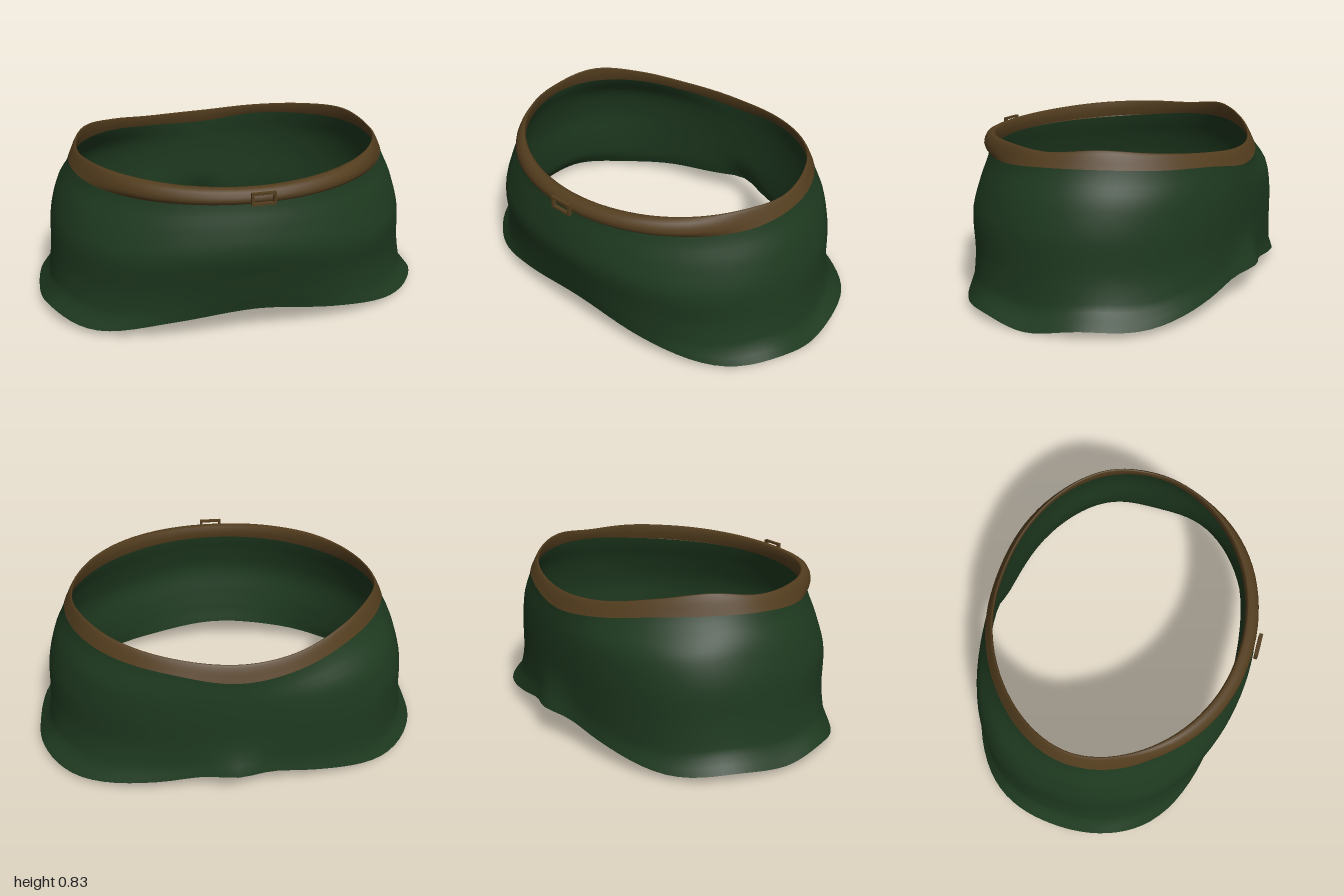
import * as THREE from 'three';

// Heights at 16 stations around the waist: front, model's left (+x), back, right
const hemY = [.14, .085, .03, .035, .0, .04, .03, .08, .14, .09, .03, .045, .025, .055, .03, .1];
const beltLowY = [.705, .705, .705, .712, .73, .733, .718, .698, .655, .675, .715, .733, .73, .712, .705, .705];
const beltTopY = [.785, .79, .798, .803, .795, .815, .79, .76, .735, .745, .79, .828, .803, .803, .8, .79];

// Skirt rings from hem to belt:
// [height fraction, half width, front depth, back depth, boxiness in front, at back left, at back right]
const rings = [
  [0, 1.0, .65, .68, .07, .09, .08],
  [.1, .945, .665, .67, .05, .06, .08],
  [.3, .925, .69, .67, .025, .03, .08],
  [.58, .912, .722, .67, .015, .03, .08],
  [.8, .87, .70, .665, .0, .03, .06],
  [1, .81, .67, .655, -.01, .01, -.03],
];

function cubic(a, b, c, d, f) {
  return b + .5 * f * (c - a + f * (2 * a - 5 * b + 4 * c - d + f * (3 * (b - c) + d - a)));
}

// Smooth periodic lookup, u in 0..1
function around(list, u) {
  const n = list.length, p = u * n, i = Math.floor(p);
  const at = k => list[(i + k + n) % n];
  return cubic(at(-1), at(0), at(1), at(2), p - i);
}

// Smooth ring values at fraction v
function ringAt(v) {
  let i = 0;
  while (i < rings.length - 2 && v > rings[i + 1][0]) i++;
  const at = k => rings[Math.min(rings.length - 1, Math.max(0, i + k))];
  const f = (v - at(0)[0]) / (at(1)[0] - at(0)[0]);
  return at(0).map((_, c) => cubic(at(-1)[c], at(0)[c], at(1)[c], at(2)[c], f));
}

function outline(v, t) {
  const [, width, front, back, boxFront, boxLeft, boxRight] = ringAt(v);
  const isFront = Math.cos(t) > 0;
  const box = isFront ? boxFront : Math.sin(t) > 0 ? boxLeft : boxRight;
  const k = 1 + box * Math.sin(2 * t) ** 2;
  const x = width * k * Math.sin(t);
  // Soft pleat that kicks out at the back of the hem
  const pleat = isFront ? 0 : .05 * Math.exp(-((x / .13) ** 2) - (v / .2) ** 2);
  return [x, (isFront ? front : back) * k * Math.cos(t) - pleat];
}

// Closed band of quads: point(u, j) gives a position for column u and row j
function band(columns, rows, point) {
  const positions = [], index = [];
  for (let j = 0; j < rows; j++)
    for (let i = 0; i < columns; i++) positions.push(...point(i / columns, j));
  for (let j = 0; j < rows - 1; j++)
    for (let i = 0; i < columns; i++) {
      const n = (i + 1) % columns;
      const a = j * columns + i, b = j * columns + n, c = a + columns, d = b + columns;
      index.push(a, b, d, a, d, c);
    }
  const g = new THREE.BufferGeometry();
  g.setAttribute('position', new THREE.Float32BufferAttribute(positions, 3));
  g.setIndex(index);
  g.computeVertexNormals();
  return g;
}

export function createModel() {
  const cloth = new THREE.MeshStandardMaterial({ name: 'dark green cloth', color: 0x1e391f, side: THREE.DoubleSide });
  const leather = new THREE.MeshStandardMaterial({ name: 'brown leather', color: 0x533d1e, side: THREE.DoubleSide });
  const group = new THREE.Group();
  const add = (name, geometry, material) => {
    const mesh = new THREE.Mesh(geometry, material);
    mesh.name = name;
    group.add(mesh);
    return mesh;
  };

  // Flared skirt with a wavy hem
  const rows = 21;
  add('skirt', band(96, rows, (u, j) => {
    const v = j / (rows - 1), t = u * Math.PI * 2;
    const [x, z] = outline(v, t);
    return [x, THREE.MathUtils.lerp(around(hemY, u), around(beltLowY, u), v), z];
  }), cloth);

  // Belt section: [offset where padded in front, offset where leaning in at sides and back, height fraction]
  const section = [
    [0, 0, 0], [.025, -.005, .15], [.036, -.012, .35], [.033, -.02, .6], [.02, -.03, .85],
    [0, -.037, .97], [-.02, -.042, 1], [-.03, -.045, .92], [-.033, -.042, .5], [-.025, -.03, .1],
  ];
  add('belt', band(96, section.length, (u, j) => {
    const t = u * Math.PI * 2, [padded, leaning, h] = section[j];
    const [x, z] = outline(1, t);
    const offset = THREE.MathUtils.lerp(leaning, padded, THREE.MathUtils.smoothstep(Math.cos(t), .3, 1));
    return [
      x + offset * Math.sin(t),
      THREE.MathUtils.lerp(around(beltLowY, u), around(beltTopY, u), h),
      z + offset * Math.cos(t),
    ];
  }), leather);

  // Rectangular buckle frame
  const rect = (path, w, h) => path.moveTo(-w, -h).lineTo(w, -h).lineTo(w, h).lineTo(-w, h).closePath();
  const frame = rect(new THREE.Shape(), .058, .03);
  frame.holes.push(rect(new THREE.Path(), .046, .02));
  const buckle = add('buckle', new THREE.ExtrudeGeometry(frame, { depth: .018, bevelEnabled: false }), leather);
  buckle.position.set(.003, .75, .714);

  return group;
}
